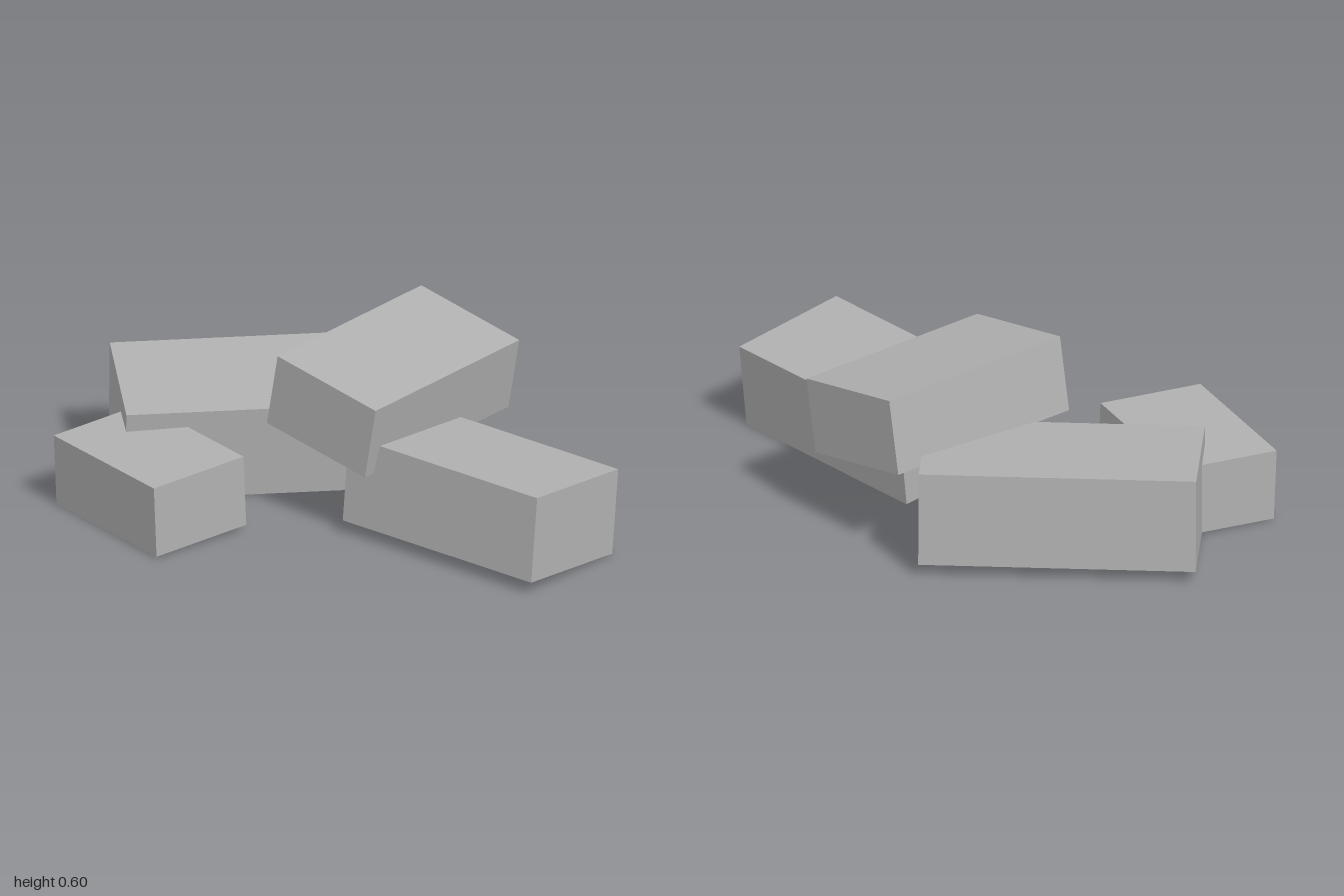
import * as THREE from 'three';

const stone = new THREE.MeshStandardMaterial({ color: 0xb0b0b0 });
stone.name = 'grey stone';

// A tilted block, given by its back left top corner, two top edges and its height.
function block(name, corner, alongEdge, acrossEdge, height) {
  const along = new THREE.Vector3(...alongEdge);
  const across = new THREE.Vector3(...acrossEdge);
  const length = along.length();
  const depth = across.length();

  const centre = new THREE.Vector3(...corner)
    .addScaledVector(along, 0.5)
    .addScaledVector(across, 0.5);

  // square axes for the block
  along.normalize();
  const up = new THREE.Vector3().crossVectors(across, along).normalize();
  across.crossVectors(along, up);
  centre.addScaledVector(up, -height / 2);

  const mesh = new THREE.Mesh(new THREE.BoxGeometry(length, height, depth), stone);
  mesh.name = name;
  mesh.quaternion.setFromRotationMatrix(new THREE.Matrix4().makeBasis(along, up, across));
  mesh.position.copy(centre);
  return mesh;
}

export function createModel() {
  const pile = new THREE.Group();
  pile.name = 'blockPile';
  pile.add(
    block('smallBlock', [-1, 0.262, 0.26], [0.25, 0.015, -0.3], [0.44, 0.005, 0.37], 0.262),
    block('backBlock', [-0.93, 0.38, -0.29], [0.91, 0, -0.32], [0.175, -0.043, 0.49], 0.337),
    block('frontBlock', [0.24, 0.31, -0.165], [0.755, 0, 0.364], [-0.195, 0.048, 0.405], 0.312),
    block('topBlock', [0.125, 0.6, -0.53], [0.395, -0.08, 0.2], [-0.35, 0, 0.695], 0.272),
  );
  return pile;
}
